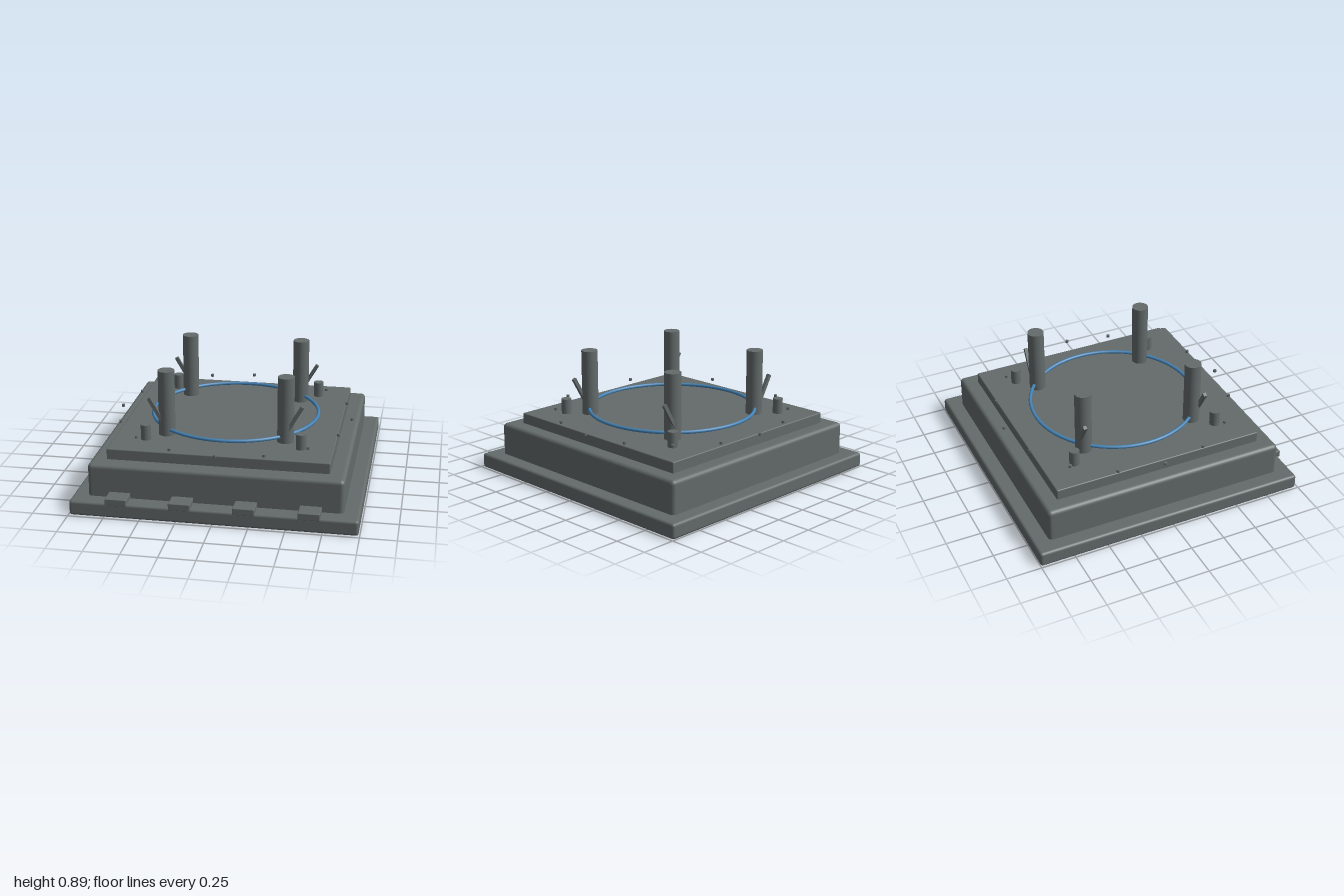
import * as THREE from 'three';
import { RoundedBoxGeometry } from 'three/addons/geometries/RoundedBoxGeometry.js';

export function createModel() {
  const model = new THREE.Group();
  model.name = 'launchPad';
  const grey = new THREE.MeshStandardMaterial({ color: 0x646b6b });
  grey.name = 'concrete grey';
  const blue = new THREE.MeshStandardMaterial({ color: 0x4484b8 });
  blue.name = 'ring blue';

  // Everything but the front tabs is centred slightly behind the origin
  const deck = new THREE.Group();
  deck.name = 'deck';
  deck.position.z = -0.008;
  model.add(deck);

  const add = (parent, name, geometry, x, y, z, material = grey) => {
    const mesh = new THREE.Mesh(geometry, material);
    mesh.name = name;
    mesh.position.set(x, y, z);
    parent.add(mesh);
    return mesh;
  };

  // Three stacked slabs: name, width, bottom, top, edge radius
  const slabs = [
    ['baseSlab', 1.985, 0, 0.108, 0.02],
    ['middleSlab', 1.768, 0.06, 0.342, 0.03],
    ['topSlab', 1.548, 0.28, 0.419, 0.008],
  ];
  for (const [name, width, bottom, top, radius] of slabs) {
    add(deck, name, new RoundedBoxGeometry(width, top - bottom, width, 3, radius), 0, (bottom + top) / 2, 0);
  }

  // Tabs along the front ledge
  const tabGeometry = new RoundedBoxGeometry(0.15, 0.05, 0.15, 2, 0.006);
  for (let i = 0; i < 4; i++) {
    add(model, 'frontTab', tabGeometry, -0.66 + i * 0.44, 0.122, 0.925);
  }

  // Corner towers, leaning struts and short posts
  const towerGeometry = new THREE.CylinderGeometry(0.059, 0.059, 0.483, 32);
  const postGeometry = new THREE.CylinderGeometry(0.036, 0.036, 0.12, 24);
  const strutGeometry = new THREE.BoxGeometry(0.026, 0.24, 0.024);
  for (const sx of [-1, 1]) {
    for (const sz of [-1, 1]) {
      add(deck, 'tower', towerGeometry, sx * 0.423, 0.6515, sz * 0.423);
      add(deck, 'shortPost', postGeometry, sx * 0.547, 0.469, sz * 0.547);
      const strut = add(deck, 'strut', strutGeometry, sx * 0.483, 0.588, sz * 0.461);
      strut.rotation.z = -sx * Math.PI / 6;
    }
  }

  // Ring through the towers
  const ring = add(deck, 'ring', new THREE.TorusGeometry(0.604, 0.0125, 8, 64), 0, 0.463, 0, blue);
  ring.rotation.x = Math.PI / 2;

  // Circle of small marker lights
  const markerGeometry = new THREE.CylinderGeometry(0.012, 0.012, 0.018, 12);
  for (let i = 0; i < 16; i++) {
    const a = (i / 16) * Math.PI * 2;
    add(deck, 'marker', markerGeometry, Math.cos(a) * 0.851, 0.45, Math.sin(a) * 0.851);
  }

  return model;
}
